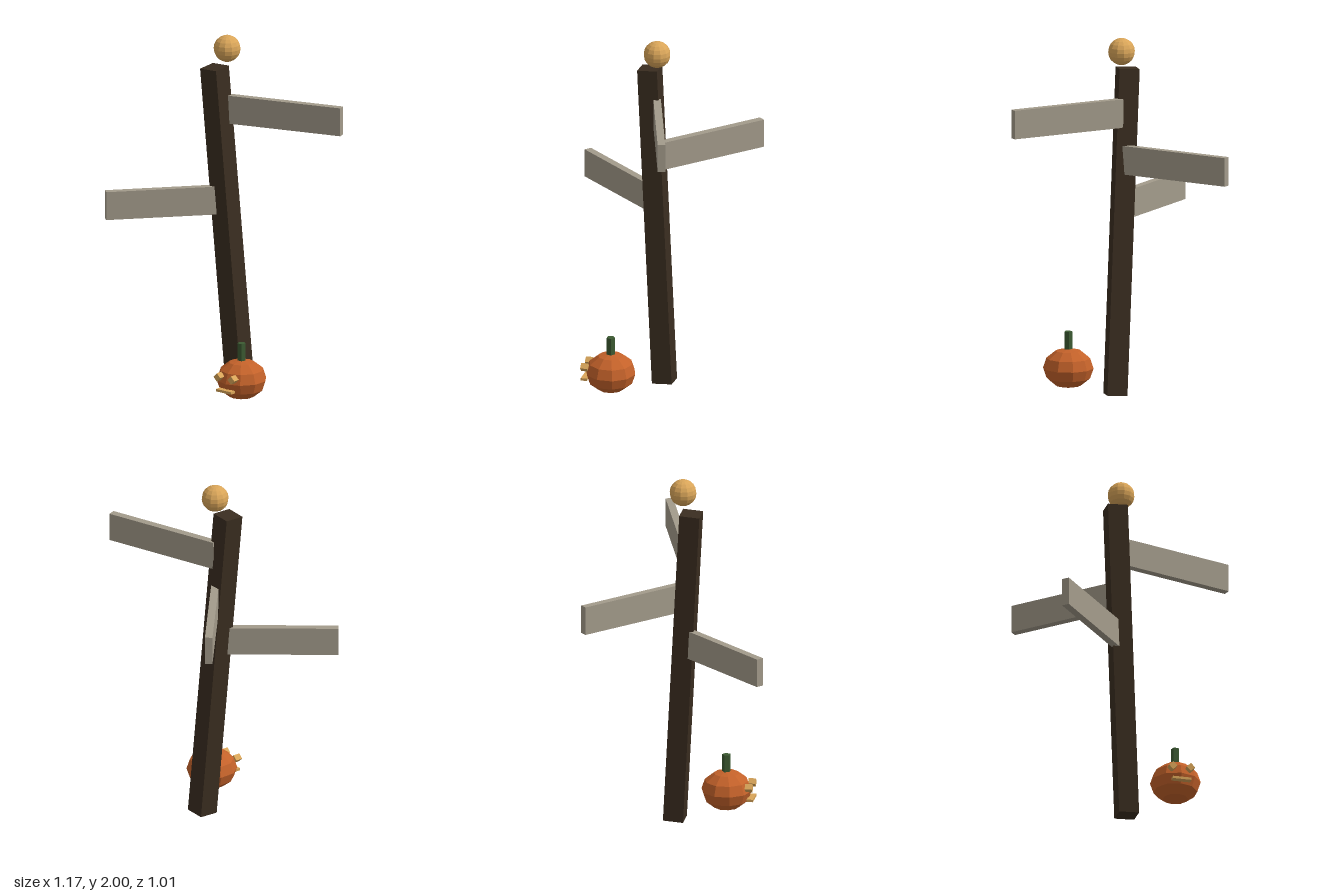
import * as THREE from 'three';

const material = (name, color) => {
  const m = new THREE.MeshStandardMaterial({ color, flatShading: true });
  m.name = name;
  return m;
};

export function createModel() {
  const darkWood = material('darkWood', 0x3a2d20);
  const greyWood = material('greyWood', 0xa39b8b);
  const orange = material('pumpkinOrange', 0xc4622a);
  const green = material('stemGreen', 0x3c5a32);
  const gold = material('glowGold', 0xd9a559);

  const model = new THREE.Group();
  model.name = 'signpost';
  const add = (name, geometry, mat, x, y, z, parent = model) => {
    const mesh = new THREE.Mesh(geometry, mat);
    mesh.name = name;
    mesh.position.set(x, y, z);
    parent.add(mesh);
    return mesh;
  };

  // Leaning square post with a lantern ball above it
  const post = add('post', new THREE.BoxGeometry(0.113, 1.816, 0.113), darkWood, -0.073, 0.916, -0.027);
  post.rotation.set(0.06, 0, 0.05);
  add('lanternBall', new THREE.SphereGeometry(0.075, 12, 10), gold, -0.073, 1.925, -0.027);

  // Sign boards, each starting at the post's axis: [height, turn about y]
  const boards = [[1.58, 0.3], [1.32, Math.PI - 0.75], [1.06, Math.PI + 0.86]];
  boards.forEach(([y, turn], i) => {
    const board = new THREE.BoxGeometry(0.68, 0.16, 0.042);
    board.translate(0.34, 0, 0);
    add(`signBoard${i + 1}`, board, greyWood, -0.073, y, -0.027).rotation.y = turn;
  });

  // Carved pumpkin at the foot of the post
  const pumpkin = new THREE.Group();
  pumpkin.name = 'pumpkin';
  pumpkin.position.set(0.187, 0.12, 0.167);
  model.add(pumpkin);
  const body = add('pumpkinBody', new THREE.SphereGeometry(0.14, 10, 6), orange, 0, 0, 0, pumpkin);
  body.scale.y = 0.8;
  body.rotation.y = Math.PI / 2;
  add('stem', new THREE.CylinderGeometry(0.024, 0.024, 0.125, 5), green, 0, 0.143, 0, pumpkin).rotation.y = Math.PI;

  // Face
  for (const side of [-1, 1]) {
    const eye = add(side > 0 ? 'leftEye' : 'rightEye', new THREE.BoxGeometry(0.034, 0.034, 0.04), gold,
      side * 0.05, 0.034, 0.135, pumpkin);
    eye.rotation.z = Math.PI / 4;
  }
  add('mouth', new THREE.BoxGeometry(0.106, 0.014, 0.035), gold, 0, -0.039, 0.14, pumpkin);

  return model;
}
